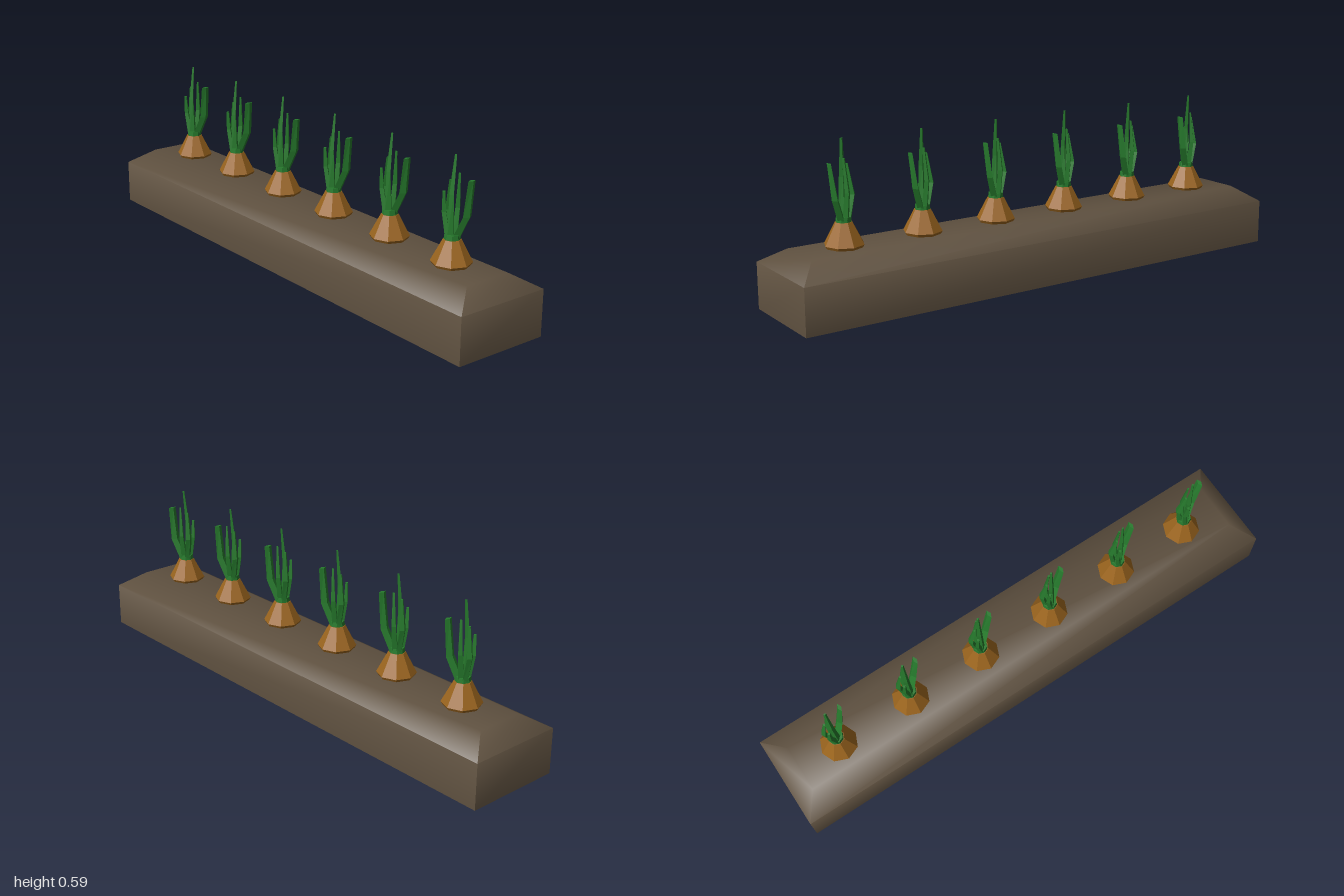
import * as THREE from 'three';
import { toCreasedNormals } from 'three/addons/utils/BufferGeometryUtils.js';

const soilMat = new THREE.MeshStandardMaterial({ color: 0x5e503f });
const bulbMat = new THREE.MeshStandardMaterial({ color: 0x9a641e, flatShading: true });
const leafMat = new THREE.MeshStandardMaterial({ color: 0x267a2c, flatShading: true });

function part(name, geometry, material) {
  const mesh = new THREE.Mesh(geometry, material);
  mesh.name = name;
  return mesh;
}

// Raised bed: a box whose upper row of vertices is drawn in to form sloped shoulders
function soilGeometry() {
  const geo = new THREE.BoxGeometry(0.362, 0.222, 2, 1, 2, 1);
  geo.translate(0, 0.111, 0);
  const p = geo.attributes.position;
  for (let i = 0; i < p.count; i++) {
    const y = p.getY(i);
    if (y > 0.2) p.setXYZ(i, Math.sign(p.getX(i)) * 0.09, y, Math.sign(p.getZ(i)) * 0.927);
    else if (y > 0.05) p.setY(i, 0.167);
  }
  return toCreasedNormals(geo, 1.1);
}

// Blade: diamond cross-sections [x, y, z, half width, half depth] joined from base to tip
function bladeGeometry(sections) {
  const pos = [], index = [];
  for (const [x, y, z, w, d] of sections) {
    pos.push(x + w, y, z, x, y, z + d, x - w, y, z, x, y, z - d);
  }
  for (let s = 0; s < sections.length - 1; s++) {
    for (let i = 0; i < 4; i++) {
      const a = s * 4 + i, b = s * 4 + (i + 1) % 4;
      index.push(a, a + 4, b, b, a + 4, b + 4);
    }
  }
  const t = (sections.length - 1) * 4;
  index.push(t, t + 2, t + 1, t, t + 3, t + 2);
  const geo = new THREE.BufferGeometry();
  geo.setAttribute('position', new THREE.Float32BufferAttribute(pos, 3));
  geo.setIndex(index);
  geo.computeVertexNormals();
  return geo;
}

const blades = {
  frontLeaf: [[0.006, 0.315, 0.012, 0.02, 0.013], [0.023, 0.39, 0.04, 0.019, 0.012], [0.021, 0.515, 0.057, 0.016, 0.007]],
  tallLeaf: [[-0.008, 0.315, 0, 0.016, 0.014], [-0.008, 0.46, -0.003, 0.009, 0.011], [0.003, 0.592, 0, 0.004, 0.005]],
  leftLeaf: [[-0.016, 0.315, -0.006, 0.011, 0.012], [-0.02, 0.4, -0.022, 0.01, 0.01], [-0.025, 0.47, -0.02, 0.006, 0.006]],
  backLeaf: [[0.006, 0.315, -0.015, 0.014, 0.011], [0.008, 0.4, -0.032, 0.014, 0.009], [0.001, 0.505, -0.018, 0.006, 0.004]],
  innerLeaf: [[0.012, 0.315, -0.002, 0.014, 0.012], [0.024, 0.41, -0.005, 0.011, 0.01], [0.02, 0.527, 0.003, 0.004, 0.005]],
};

function createPlant() {
  const plant = new THREE.Group();
  plant.name = 'onionPlant';

  // Eight-sided bulb, narrowing below the soil line
  const profile = [[0, 0.17], [0.045, 0.19], [0.07, 0.232], [0.03, 0.309], [0, 0.309]]
    .map(([r, y]) => new THREE.Vector2(r, y));
  plant.add(part('bulb', new THREE.LatheGeometry(profile, 8), bulbMat));

  // Green neck from which the leaves spread
  const neck = part('neck', new THREE.CylinderGeometry(0.026, 0.028, 0.018, 8), leafMat);
  neck.position.y = 0.317;
  plant.add(neck);

  for (const [name, sections] of Object.entries(blades)) {
    plant.add(part(name, bladeGeometry(sections), leafMat));
  }
  return plant;
}

export function createModel() {
  const model = new THREE.Group();
  model.name = 'onionRow';
  model.add(part('soilBed', soilGeometry(), soilMat));

  // Six evenly spaced plants along the bed
  const plant = createPlant();
  for (let i = 0; i < 6; i++) {
    const copy = plant.clone();
    copy.position.z = 0.7625 - i * 0.305;
    model.add(copy);
  }
  return model;
}
